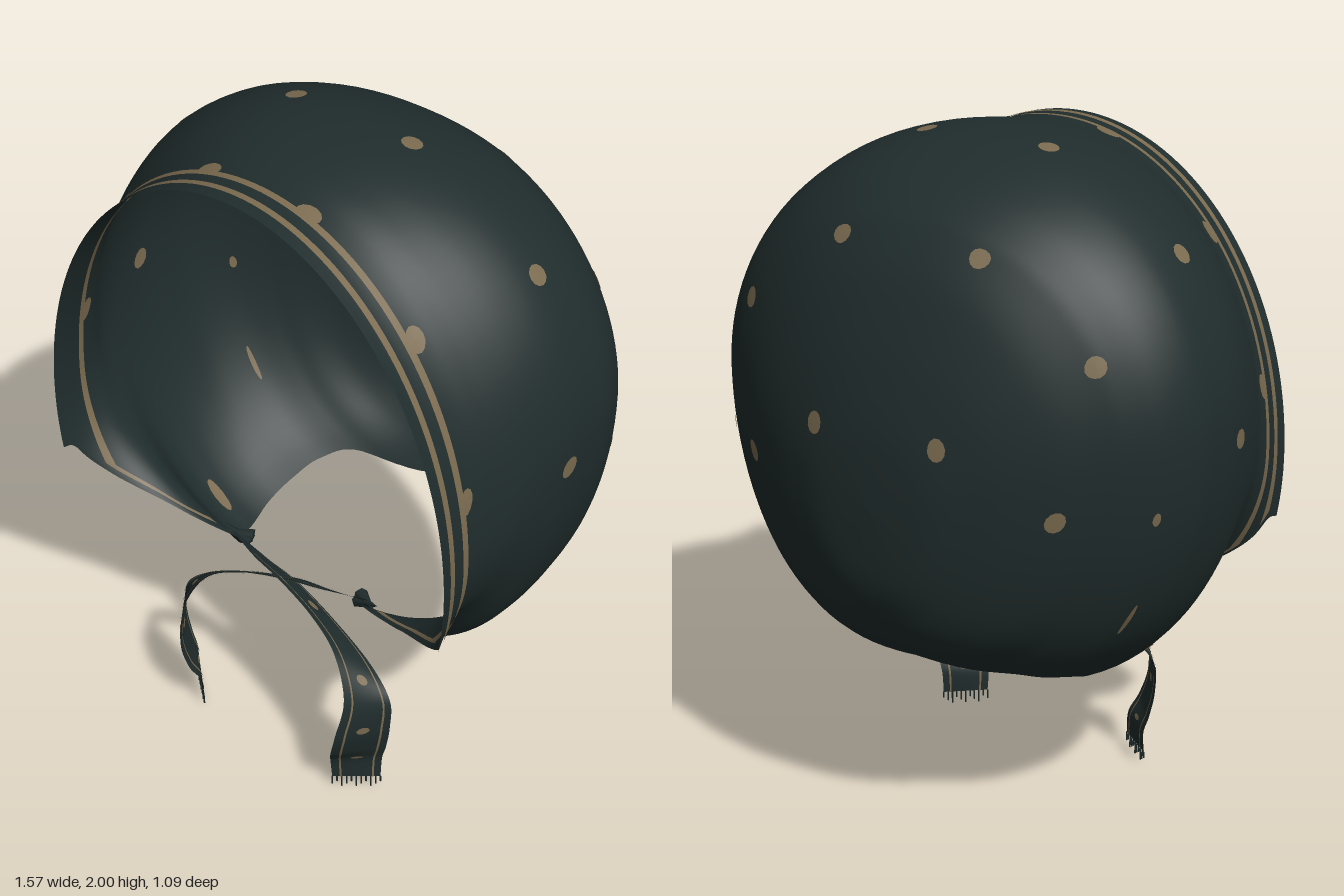
import * as THREE from 'three';

const fabric = new THREE.MeshStandardMaterial({ color: 0x202c2c, side: THREE.DoubleSide });
fabric.name = 'dark green fabric';
const print = new THREE.MeshStandardMaterial({ color: 0x7a6a4f, side: THREE.DoubleSide });
print.name = 'tan print';

// Cross-sections from face rim to crown:
// z, half width, top, widest height, bottom, half gap at the neck, shoulder roundness
const SECTIONS = [
  [0.54, 0.71, 1.96, 1.02, 0.25, 0.695, 1],
  [0.50, 0.70, 1.96, 1.04, 0.36, 0.67, 1],
  [0.45, 0.70, 1.96, 1.06, 0.50, 0.60, 0.99],
  [0.38, 0.705, 1.967, 1.11, 0.57, 0.45, 0.96],
  [0.30, 0.74, 1.982, 1.16, 0.57, 0.23, 0.92],
  [0.20, 0.765, 1.997, 1.23, 0.41, 0.33, 0.9],
  [0.10, 0.78, 2.0, 1.27, 0.38, 0.36, 0.89],
  [0.00, 0.78, 1.99, 1.28, 0.39, 0.38, 0.89],
  [-0.10, 0.77, 1.96, 1.28, 0.43, 0.37, 0.89],
  [-0.20, 0.725, 1.915, 1.27, 0.47, 0.34, 0.9],
  [-0.28, 0.655, 1.86, 1.255, 0.52, 0.25, 0.91],
  [-0.33, 0.595, 1.81, 1.24, 0.56, 0, 0.92],
  [-0.40, 0.50, 1.705, 1.21, 0.605, 0, 0.92],
  [-0.46, 0.39, 1.565, 1.18, 0.67, 0, 0.92],
  [-0.50, 0.29, 1.44, 1.15, 0.75, 0, 0.92],
  [-0.535, 0.17, 1.28, 1.11, 0.87, 0, 0.92],
  [-0.55, 0, 1.08, 1.08, 1.08, 0, 0.92],
];
const LAST = SECTIONS.length - 1;
const JAW = 0.75;

// Smooth interpolation of any table of rows
function sample(rows, t) {
  const n = rows.length - 1;
  t = Math.min(Math.max(t, 0), n);
  const i = Math.min(Math.floor(t), n - 1), f = t - i;
  const row = k => rows[Math.min(Math.max(k, 0), n)];
  return rows[0].map((_, c) => {
    const a = row(i - 1)[c], b = row(i)[c], d = row(i + 1)[c], e = row(i + 2)[c];
    return b + 0.5 * f * (d - a + f * (2 * a - 5 * b + 4 * d - e + f * (3 * (b - d) + e - a)));
  });
}

// Point of the cap: angle measured from the top, t along the sections
function capPoint(angle, t) {
  const [z, w, top, mid, bottom, , shoulder] = sample(SECTIONS, t);
  const s = Math.sin(angle), c = Math.cos(angle);
  const x = Math.max(w, 0) * Math.sign(s) * Math.abs(s) ** (c > 0 ? shoulder : JAW);
  return new THREE.Vector3(x, mid + c * (c > 0 ? top - mid : mid - bottom), z);
}

function maxAngle(t) {
  const [, w, , , , gap] = sample(SECTIONS, t);
  if (gap <= 0.001 || w <= 0.001) return Math.PI;
  return Math.PI - Math.asin(Math.min(1, gap / w) ** (1 / JAW));
}

function capFrame(angle, t) {
  const e = 0.01;
  const du = capPoint(angle + e, t).sub(capPoint(angle - e, t)).divideScalar(2 * e);
  const dt = capPoint(angle, t + e).sub(capPoint(angle, t - e)).divideScalar(2 * e);
  return { du, dt, n: new THREE.Vector3().crossVectors(du, dt).normalize() };
}

const lifted = (angle, t, h) => capPoint(angle, t).addScaledVector(capFrame(angle, t).n, h);

function sectionAt(z) {
  let a = 0, b = LAST;
  for (let i = 0; i < 40; i++) {
    const m = (a + b) / 2;
    if (sample(SECTIONS, m)[0] > z) a = m; else b = m;
  }
  return a;
}

// Grid surface from a function of u and v in 0..1
function patch(name, material, nu, nv, f) {
  const pos = [], index = [];
  for (let j = 0; j <= nv; j++)
    for (let i = 0; i <= nu; i++) {
      pos.push(...f(i / nu, j / nv).toArray());
      if (i < nu && j < nv) {
        const a = j * (nu + 1) + i, b = a + nu + 1;
        index.push(a, b, a + 1, b, b + 1, a + 1);
      }
    }
  const g = new THREE.BufferGeometry();
  g.setAttribute('position', new THREE.Float32BufferAttribute(pos, 3));
  g.setIndex(index);
  g.computeVertexNormals();
  const mesh = new THREE.Mesh(g, material);
  mesh.name = name;
  return mesh;
}

// Spot on the cap nearest to a target, printed on the outside and the lining
function capSpot(target, ru, rt) {
  let best = Infinity, angle = 0, t = 0;
  const goal = new THREE.Vector3(...target);
  for (let i = 0; i <= 90; i++)
    for (let j = 0; j <= 120; j++) {
      const tt = (j / 120) * LAST, a = (i / 90) * maxAngle(tt);
      const d = capPoint(a, tt).distanceToSquared(goal);
      if (d < best) { best = d; angle = a; t = tt; }
    }
  const { du, dt } = capFrame(angle, t);
  const group = new THREE.Group();
  group.name = 'printedSpot';
  for (const side of [1, -1])
    for (const h of [0.004, -0.004])
      group.add(patch('spot', print, 12, 2, (u, v) => {
        const p = u * Math.PI * 2;
        return lifted(side * (angle + v * ru * Math.cos(p) / du.length()),
          t + v * rt * Math.sin(p) / dt.length(), h);
      }));
  return group;
}

// Ribbon stations: centre x y z, then half-width vector x y z
const RIBBON = [
  [0.25, 0.60, 0.29, 0, 0.012, 0.01],
  [0.12, 0.59, 0.32, 0, 0.022, 0.028],
  [0.00, 0.575, 0.335, 0.005, 0.025, 0.035],
  [-0.15, 0.535, 0.36, 0.012, 0.032, 0.04],
  [-0.28, 0.47, 0.385, 0.03, 0.035, 0.045],
  [-0.355, 0.37, 0.41, 0.042, 0.012, 0.052],
  [-0.355, 0.26, 0.43, 0.048, 0, 0.066],
  [-0.335, 0.17, 0.425, 0.052, 0, 0.064],
  [-0.315, 0.11, 0.41, 0.055, 0, 0.052],
  [-0.315, 0.04, 0.41, 0.055, 0, 0.045],
];

function ribbonPoint(u, across, h = 0) {
  const at = k => sample(RIBBON, k * (RIBBON.length - 1));
  const [x, y, z, a, b, c] = at(u);
  const p = at(Math.min(u + 0.01, 1)), q = at(Math.max(u - 0.01, 0));
  const n = new THREE.Vector3(p[0] - q[0], p[1] - q[1], p[2] - q[2])
    .cross(new THREE.Vector3(a, b, c)).normalize();
  return new THREE.Vector3(x + a * across, y + b * across, z + c * across).addScaledVector(n, h);
}

function makeTie(name, side) {
  const tie = new THREE.Group();
  tie.name = name;
  const flip = p => { p.x *= side; if (side < 0) p.z += 0.012; return p; };
  tie.add(patch('ribbon', fabric, 60, 6, (u, v) => flip(ribbonPoint(u, v * 2 - 1))));
  for (const h of [0.003, -0.003]) {
    for (const c of [-0.72, 0.6])
      tie.add(patch('ribbonStripe', print, 60, 1, (u, v) =>
        flip(ribbonPoint(0.1 + u * 0.9, c + v * 0.08, h))));
    for (const c of [0.3, 0.5, 0.66, 0.86])
      tie.add(patch('ribbonSpot', print, 10, 1, (u, v) =>
        flip(ribbonPoint(c + 0.014 * v * Math.cos(u * 6.2832), 0.25 * v * Math.sin(u * 6.2832), h))));
  }
  // Frayed end
  for (let i = 0; i < 11; i++) {
    const length = 0.02 + (i % 3) * 0.01;
    const thread = new THREE.Mesh(new THREE.BoxGeometry(0.004, length, 0.003), fabric);
    thread.name = 'fringeThread';
    thread.position.copy(flip(ribbonPoint(1, i / 5 - 1)));
    thread.position.y -= length / 2;
    tie.add(thread);
  }
  // Gathered tuft where the tie meets the cap
  for (const lean of [0.5, 1.3]) {
    const tuft = new THREE.Mesh(new THREE.ConeGeometry(0.022, 0.1, 6), fabric);
    tuft.name = 'gatheredTuft';
    tuft.position.set(side * 0.25, 0.59, 0.29);
    tuft.rotation.set(lean, 0, side * -1.1);
    tie.add(tuft);
  }
  return tie;
}

export function createModel() {
  const model = new THREE.Group();
  model.name = 'bonnet';

  // Cap, open at the face and at the nape
  model.add(patch('cap', fabric, 96, 110, (u, v) =>
    capPoint((u * 2 - 1) * maxAngle(v * LAST), v * LAST)));

  // Twin border stripes outside, the inner one showing on the lining
  for (const [z, h] of [[0.505, 0.004], [0.45, 0.004], [0.45, -0.004]])
    model.add(patch('borderStripe', print, 96, 2, (u, v) => {
      const t = sectionAt(z - v * 0.02);
      return lifted((u * 2 - 1) * (maxAngle(t) - 0.06), t, h);
    }));
  // Stripe continued along the lower edge to the tie
  for (const h of [0.004, -0.004])
    for (const side of [1, -1])
      model.add(patch('lowerStripe', print, 20, 2, (u, v) => {
        const t = sectionAt(0.44 - u * 0.12);
        return lifted(side * (maxAngle(t) - 0.06 - v * 0.04), t, h);
      }));

  // Scattered spots, mirrored left and right
  const spots = [
    [0.21, 1.77, -0.33], [0.56, 1.52, -0.31], [0.207, 1.29, -0.53], [0.49, 1.11, -0.39],
    [0.59, 1.74, 0.05], [0.205, 1.97, 0.05], [0.775, 1.24, 0.1],
  ];
  for (const p of spots) model.add(capSpot(p, 0.03, 0.029));
  model.add(capSpot([0.45, 0.55, 0.13], 0.06, 0.018));
  // Slim prints along the side gather
  model.add(capSpot([0.7, 1.1, -0.22], 0.02, 0.012), capSpot([0.62, 0.75, -0.2], 0.06, 0.008));
  // Scallops behind the inner stripe
  for (const p of [[0.18, 1.95, 0.425], [0.52, 1.71, 0.425], [0.7, 1.27, 0.425]])
    model.add(capSpot(p, 0.037, 0.027));

  // Crossed ties
  model.add(makeTie('rightTie', 1), makeTie('leftTie', -1));
  return model;
}
